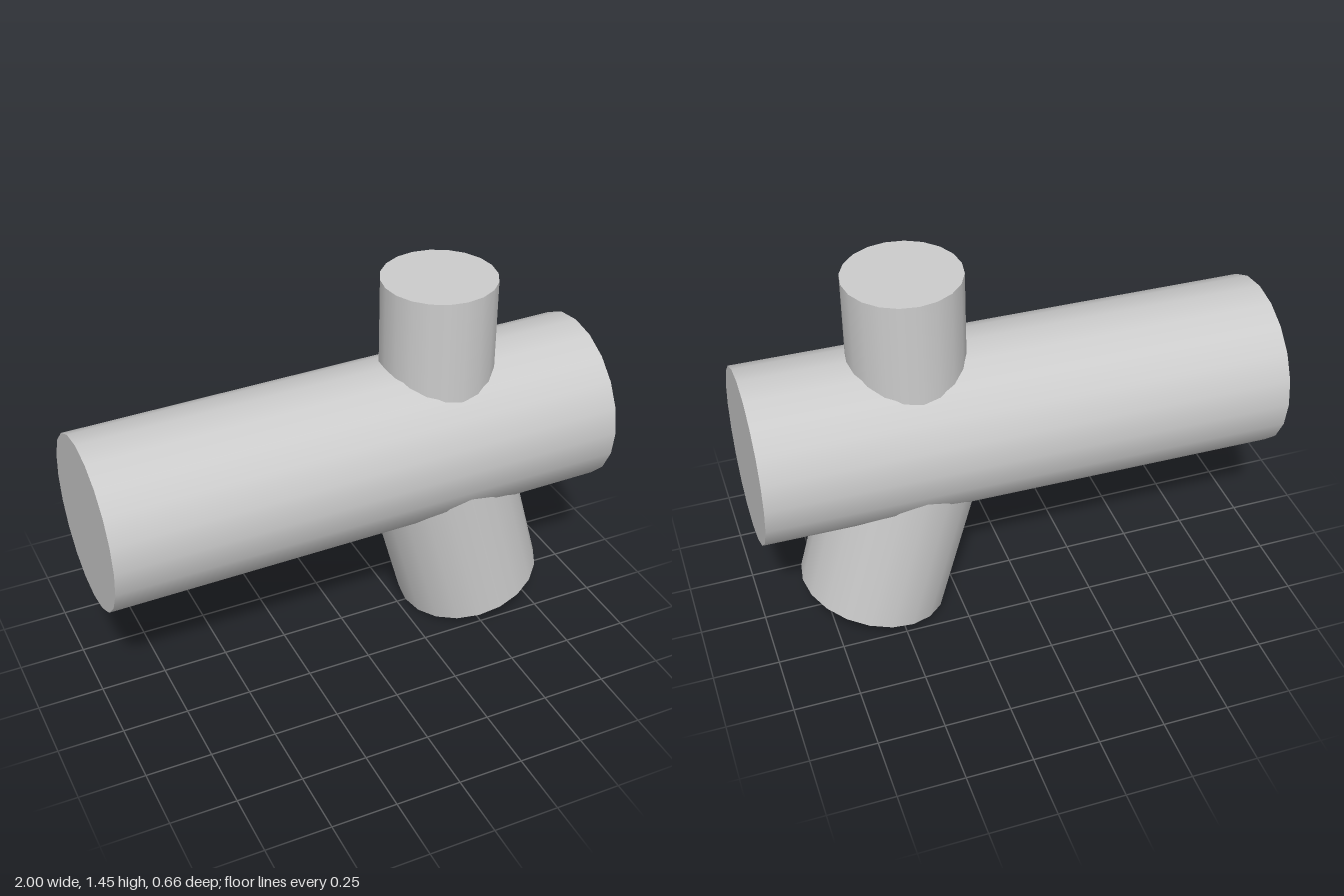
import * as THREE from 'three';

const SIDES = 20;

export function createModel() {
  const group = new THREE.Group();
  const material = new THREE.MeshStandardMaterial({ color: 0xcccccc });
  const up = new THREE.Vector3(0, 1, 0);

  // Capped cylinder between two points in the z = 0 plane
  function addPipe(name, radius, [x0, y0], [x1, y1]) {
    const start = new THREE.Vector3(x0, y0, 0);
    const end = new THREE.Vector3(x1, y1, 0);
    const axis = end.clone().sub(start);
    const mesh = new THREE.Mesh(new THREE.CylinderGeometry(radius, radius, axis.length(), SIDES), material);
    mesh.name = name;
    mesh.position.copy(start).add(end).multiplyScalar(0.5);
    mesh.quaternion.setFromUnitVectors(up, axis.normalize());
    group.add(mesh);
  }

  // Main pipe, rising slightly towards +x
  addPipe('mainPipe', 0.328, [-0.996, 0.784], [0.996, 0.8095]);
  // Upright branch on top
  addPipe('upperBranch', 0.216, [0.388, 0.8], [0.388, 1.453]);
  // Wider slanted branch below
  addPipe('lowerBranch', 0.286, [0.564, 0.078], [0.365, 0.8]);

  return group;
}
